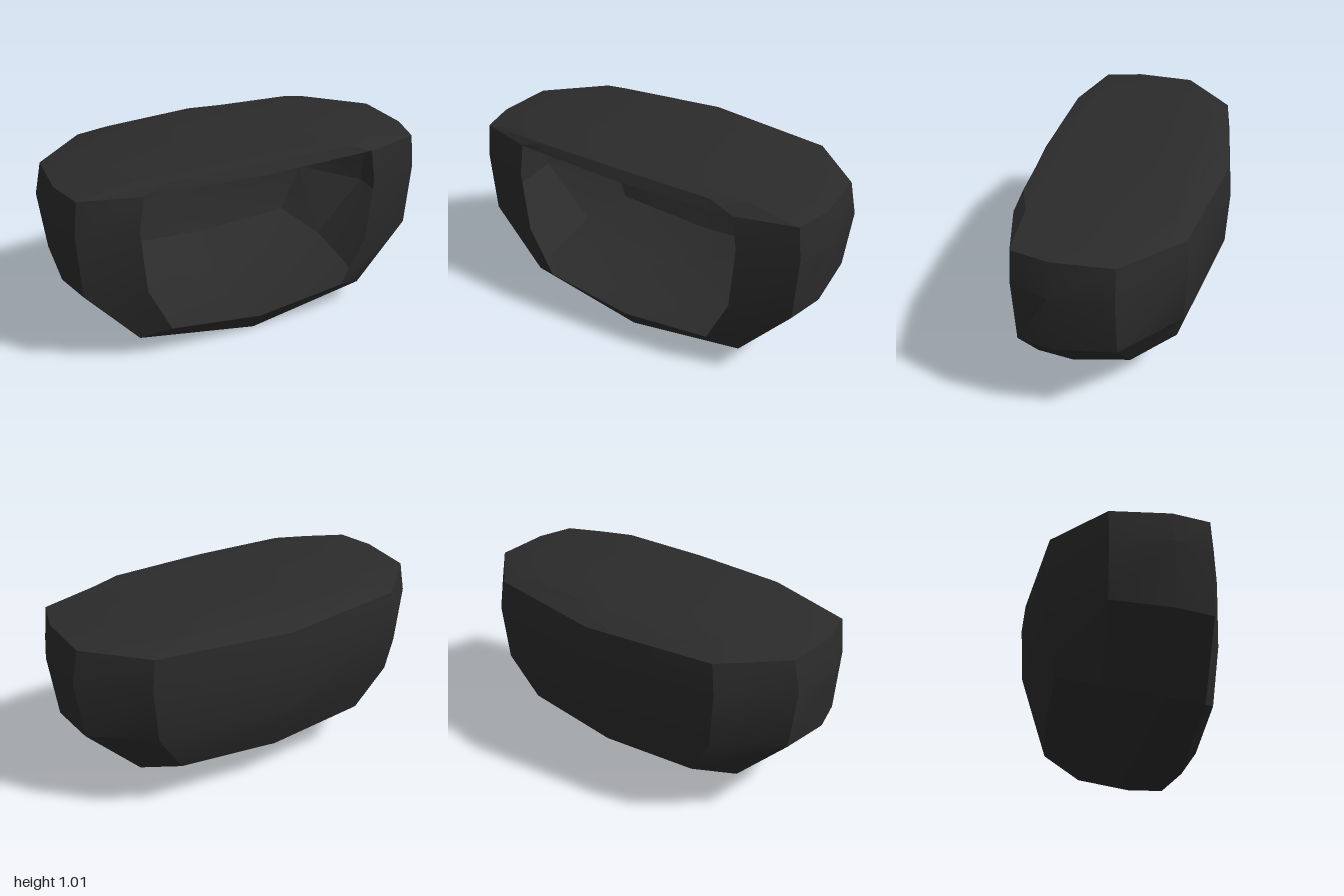
import * as THREE from 'three';
import { toCreasedNormals } from 'three/addons/utils/BufferGeometryUtils.js';

// The thin housing is lofted through cross-sections along its depth axis, then turned in plan.
// Each half section runs from top centre to bottom centre as [u (length), y, v (depth)].
const SHELL = [
  [[0, 1.013, 0.35], [0.66, 1, 0.35], [0.92, 0.955, 0.345], [0.94, 0.78, 0.35], [0.92, 0.44, 0.345], [0.645, 0.12, 0.345], [0, 0.002, 0.343]],
  [[0, 1.016, 0.15], [0.69, 1.002, 0.15], [0.97, 0.955, 0.152], [1.009, 0.78, 0.155], [0.97, 0.445, 0.152], [0.685, 0.13, 0.15], [0, 0.012, 0.147]],
  [[0, 1.015, -0.15], [0.67, 1.002, -0.15], [0.955, 0.955, -0.15], [0.99, 0.79, -0.15], [0.955, 0.475, -0.15], [0.675, 0.178, -0.15], [0, 0.075, -0.147]],
  [[0, 1.004, -0.38], [0.53, 0.996, -0.36], [0.68, 0.955, -0.412], [0.705, 0.8, -0.427], [0.68, 0.503, -0.412], [0.54, 0.27, -0.36], [0, 0.228, -0.38]],
];
const MOUTH = [[0, 1.005, 0.425], [0.495, 1, 0.415], [0.62, 0.955, 0.426], [0.648, 0.78, 0.429], [0.62, 0.44, 0.426], [0.495, 0.178, 0.415], [0, 0.12, 0.424]];
// The lip repeats the mouth, with a straight edge under the roof
const LIP = [[0, 0.955, 0.456], [0.495, 0.955, 0.433], ...MOUTH.slice(2)];

// Section space to model space
function place([u, y, v]) {
  const s = u - 0.015;
  return [0.956 * v - 0.293 * s, y, 0.956 * s + 0.293 * v];
}

// Mirror a half section into a closed ring of twelve points
function ring(half) {
  const mirrored = half.slice(1, 6).reverse().map(([u, y, v]) => [-u, y, v]);
  return [...half, ...mirrored].map(place);
}

function loft(halves) {
  const rings = halves.map(ring);
  const faces = [];
  for (let k = 0; k + 1 < rings.length; k++) {
    const a = rings[k], b = rings[k + 1];
    for (let i = 0; i < 12; i++) {
      const j = (i + 1) % 12;
      faces.push([a[i], b[i], b[j], a[j]]);
    }
  }
  return faces;
}

// Bulging back wall with a centre column, closing a section
function backWall(half, centreV) {
  const r = ring(half);
  const [c2, c3, c4] = [2, 3, 4].map((i) => place([0, half[i][1], centreV + (i === 3 ? 0 : 0.015)]));
  return [
    [c2, r[2], r[1], r[0]], [c3, r[3], r[2], c2], [c4, r[4], r[3], c3], [r[6], r[5], r[4], c4],
    [r[0], r[11], r[10], c2], [c2, r[10], r[9], c3], [c3, r[9], r[8], c4], [c4, r[8], r[7], r[6]],
  ];
}

function makeMesh(name, faces, material) {
  const positions = [];
  const ab = new THREE.Vector3(), ac = new THREE.Vector3(), origin = new THREE.Vector3();
  // Sections that share points leave empty triangles, which are skipped
  const triangle = (a, b, c) => {
    origin.fromArray(a);
    ab.fromArray(b).sub(origin);
    ac.fromArray(c).sub(origin);
    if (ab.cross(ac).length() > 1e-7) positions.push(...a, ...b, ...c);
  };
  for (const [a, b, c, d] of faces) {
    triangle(a, b, c);
    triangle(a, c, d);
  }
  const geometry = new THREE.BufferGeometry();
  geometry.setAttribute('position', new THREE.Float32BufferAttribute(positions, 3));
  const mesh = new THREE.Mesh(toCreasedNormals(geometry, 0.45), material);
  mesh.name = name;
  return mesh;
}

export function createModel() {
  const model = new THREE.Group();
  model.name = 'openHousing';
  const charcoal = new THREE.MeshStandardMaterial({ color: 0x2b2b2b, side: THREE.DoubleSide });
  charcoal.name = 'charcoal';

  // Thin hollow shell with its bulged back, and the rim around its mouth
  model.add(
    makeMesh('shell', [...loft(SHELL), ...backWall(SHELL[3], -0.528)], charcoal),
    makeMesh('mouthRim', loft([LIP, MOUTH, SHELL[0]]), charcoal),
  );
  return model;
}
